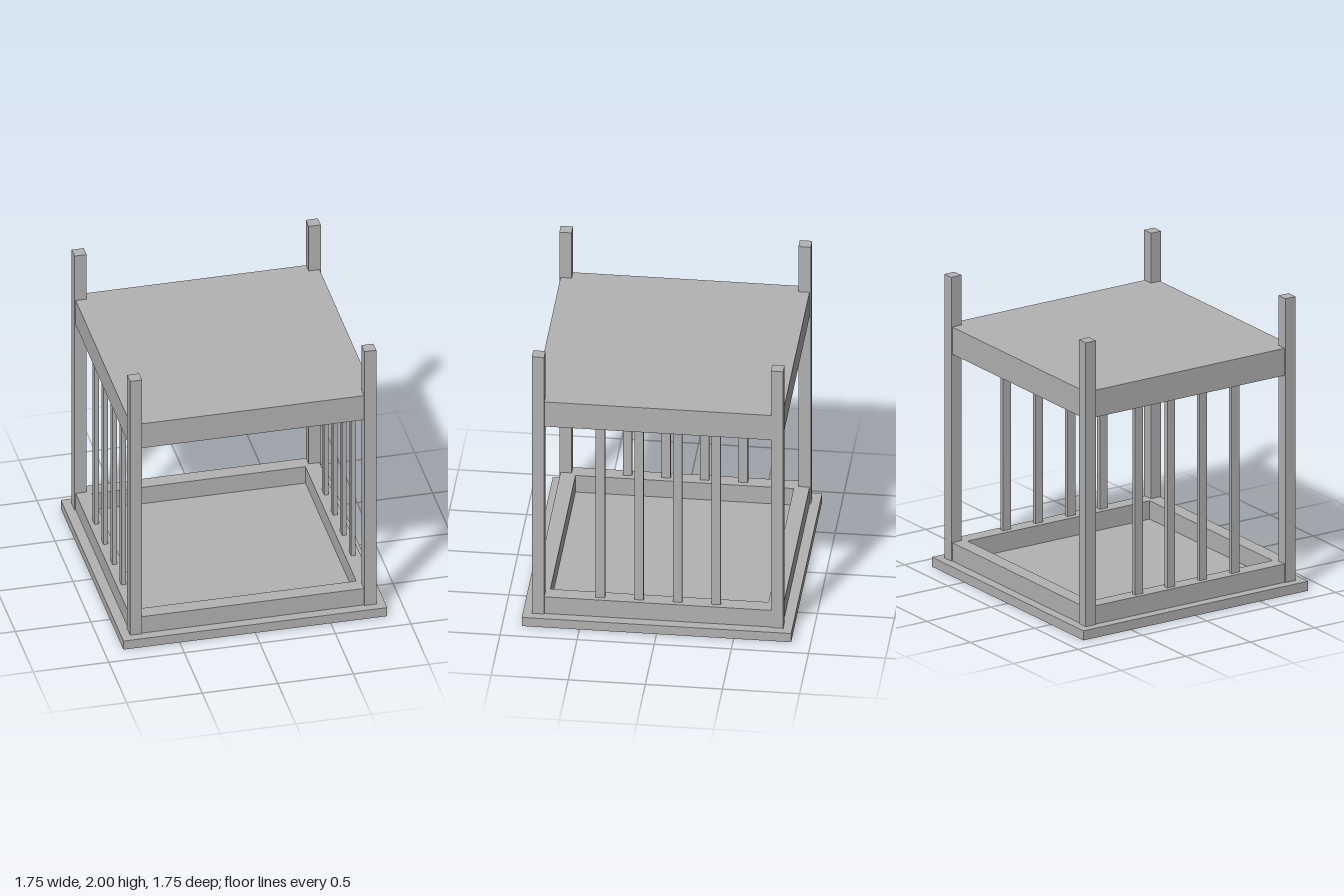
import * as THREE from 'three';

export function createModel() {
  const model = new THREE.Group();
  const grey = new THREE.MeshStandardMaterial({ color: 0xb3b3b3 });
  grey.name = 'plain grey';

  // Box standing between heights y0 and y1
  function box(name, x, z, width, depth, y0, y1) {
    const mesh = new THREE.Mesh(new THREE.BoxGeometry(width, y1 - y0, depth), grey);
    mesh.position.set(x, (y0 + y1) / 2, z);
    mesh.name = name;
    model.add(mesh);
  }

  const baseTop = 0.065, railTop = 0.19, slabBottom = 1.475, slabTop = 1.66;
  const post = 0.08, postAt = 0.775;
  const rail = 0.1, railAt = 0.757, railLength = 2 * postAt - post;

  // Base plate and thick upper slab
  box('basePlate', 0, 0, 1.746, 1.746, 0, baseTop);
  box('upperSlab', 0, 0, 1.614, 1.614, slabBottom, slabTop);

  for (const side of [-1, 1]) {
    // Corner posts
    for (const end of [-1, 1]) {
      box('cornerPost', side * postAt, end * postAt, post, post, baseTop, 2);
    }

    // Low rails around the base
    box('sideRail', side * railAt, 0, rail, railLength, baseTop, railTop);
    box('endRail', 0, side * railAt, railLength, rail, baseTop, railTop);

    // Upright slats on the left and right sides
    for (const z of [-0.375, -0.125, 0.125, 0.375]) {
      box('slat', side * 0.76, z, 0.03, 0.06, railTop, slabBottom);
    }
  }
  return model;
}
